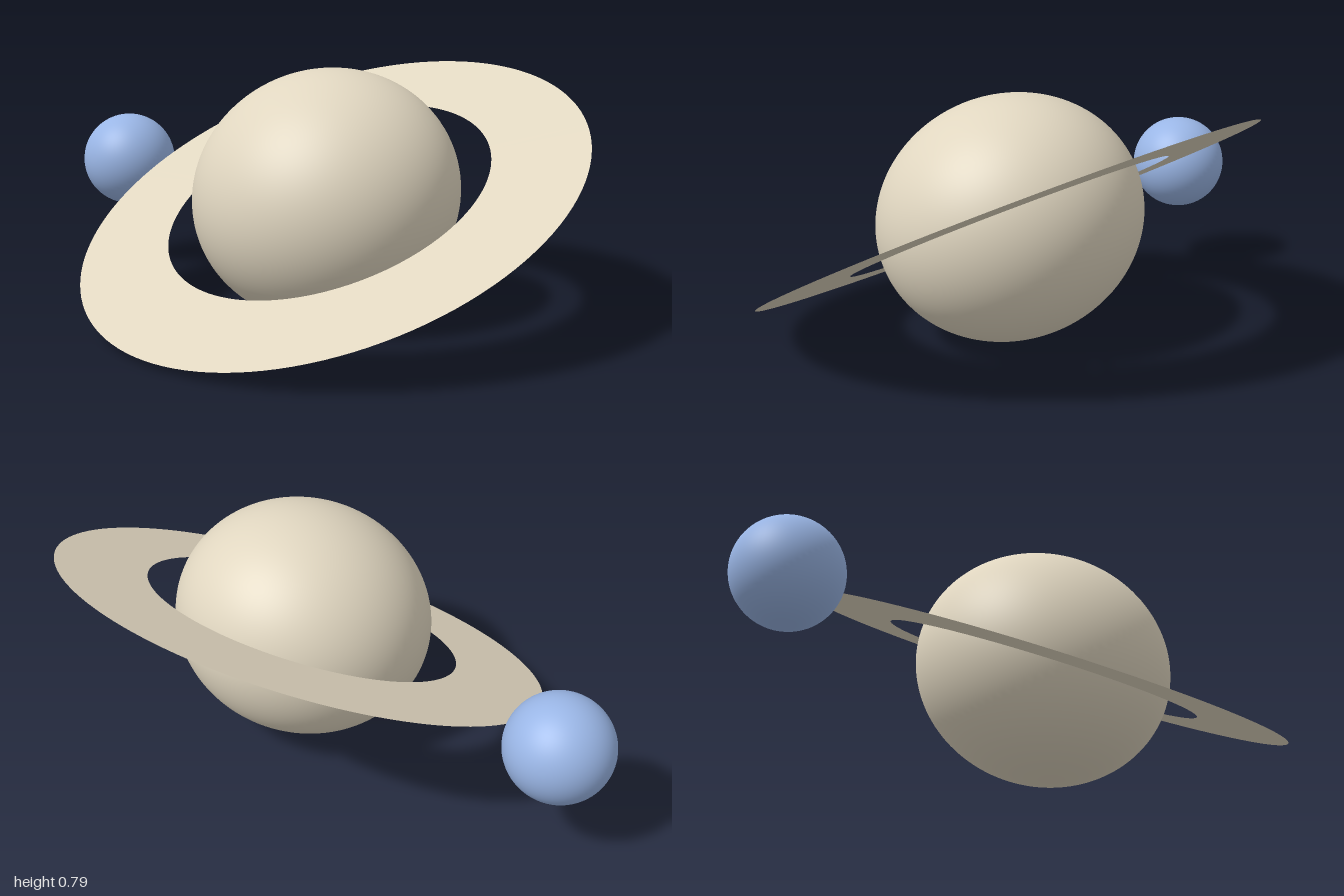
import * as THREE from 'three';

export function createModel() {
  const model = new THREE.Group();
  model.name = 'ringedPlanetAndMoon';

  const sand = new THREE.MeshStandardMaterial({ color: 0xe0d6c0, side: THREE.DoubleSide });
  sand.name = 'sand';
  const paleBlue = new THREE.MeshStandardMaterial({ color: 0x9ab6e6 });
  paleBlue.name = 'paleBlue';

  function addPart(name, geometry, material, parent) {
    const mesh = new THREE.Mesh(geometry, material);
    mesh.name = name;
    parent.add(mesh);
    return mesh;
  }

  // Planet and ring share one axis, leaning towards the front
  const system = new THREE.Group();
  system.name = 'tiltedPlanet';
  system.position.set(0.167, 0.397, 0);
  system.rotation.x = THREE.MathUtils.degToRad(26.7);
  model.add(system);

  // Planet, flattened at the poles
  const planet = addPart('planet', new THREE.SphereGeometry(0.427, 96, 64), sand, system);
  planet.scale.y = 0.906;

  // Flat ring without thickness
  const ringGeometry = new THREE.RingGeometry(0.532, 0.833, 128, 1);
  ringGeometry.rotateX(-Math.PI / 2);
  addPart('ring', ringGeometry, sand, system);

  // Moon just touching the ring's outer edge
  const moon = addPart('moon', new THREE.SphereGeometry(0.167, 64, 40), paleBlue, model);
  moon.position.set(-0.833, 0.398, 0);

  return model;
}
